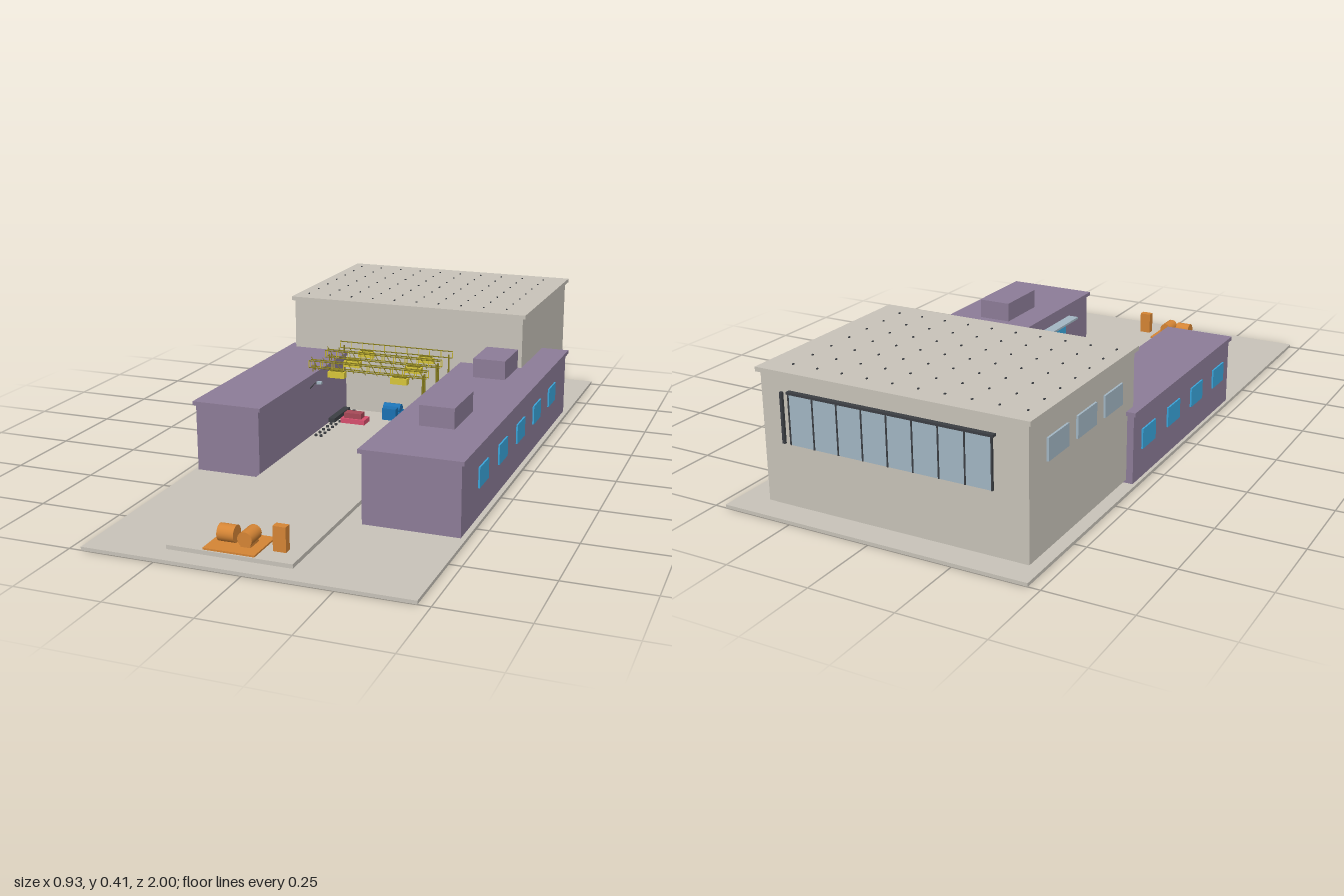
import * as THREE from 'three';

const mat = (color) => new THREE.MeshStandardMaterial({ color });
const M = {
  stone: mat(0xc9c4ba), purple: mat(0x8d7d98), glass: mat(0x3aa6dc), pale: mat(0xa3b7c4),
  orange: mat(0xd58535), yellow: mat(0xd8c63a), olive: mat(0x8a8020), red: mat(0xd8506e),
  maroon: mat(0xa84a58), blue: mat(0x1b72b4), dark: mat(0x3c3f44),
};

// Box from its lower and upper corners
function box(parent, name, m, x0, x1, y0, y1, z0, z1) {
  const mesh = new THREE.Mesh(new THREE.BoxGeometry(x1 - x0, y1 - y0, z1 - z0), m);
  mesh.position.set((x0 + x1) / 2, (y0 + y1) / 2, (z0 + z1) / 2);
  mesh.name = name;
  parent.add(mesh);
  return mesh;
}

// Cylinder along the axis 'x', 'y' or 'z'
function drum(parent, name, m, r, len, axis, x, y, z, seg = 24) {
  const g = new THREE.CylinderGeometry(r, r, len, seg);
  if (axis === 'x') g.rotateZ(Math.PI / 2);
  if (axis === 'z') g.rotateX(Math.PI / 2);
  const mesh = new THREE.Mesh(g, m);
  mesh.position.set(x, y, z);
  mesh.name = name;
  parent.add(mesh);
  return mesh;
}

// Thin bar between two points
function bar(parent, name, m, a, b, r) {
  const p = new THREE.Vector3(...a), q = new THREE.Vector3(...b);
  const d = q.clone().sub(p);
  const mesh = drum(parent, name, m, r, d.length(), 'y', 0, 0, 0, 6);
  mesh.position.copy(p).add(q).multiplyScalar(0.5);
  mesh.quaternion.setFromUnitVectors(new THREE.Vector3(0, 1, 0), d.normalize());
}

function group(parent, name) {
  const g = new THREE.Group();
  g.name = name;
  parent.add(g);
  return g;
}

// Tall hall with a flat roof, side windows and a glazed back
function addHall(root) {
  const hall = group(root, 'hall');
  box(hall, 'hallPlinth', M.stone, -0.425, 0.355, 0.01, 0.02, -0.92, -0.34);
  box(hall, 'hallWalls', M.stone, -0.435, 0.365, 0.02, 0.391, -0.935, -0.332);
  box(hall, 'hallRoof', M.stone, -0.445, 0.375, 0.391, 0.404, -0.945, -0.325);
  for (let i = 0; i < 10; i++)
    for (let j = 0; j < 7; j++) {
      const x = -0.406 + i * 0.078, z = -0.885 + j * 0.0833;
      box(hall, 'roofStud', M.dark, x - 0.002, x + 0.002, 0.404, 0.407, z - 0.003, z + 0.003);
    }
  for (const z of [-0.79, -0.63, -0.47]) {
    box(hall, 'hallSideWindow', M.pale, -0.441, -0.435, 0.262, 0.325, z - 0.055, z + 0.055);
  }
  // Back glazing with mullions and rail
  box(hall, 'backGlazing', M.pale, -0.335, 0.275, 0.2, 0.345, -0.94, -0.935);
  for (let i = 0; i <= 8; i++) {
    const x = -0.335 + i * 0.07625;
    box(hall, 'mullion', M.dark, x - 0.002, x + 0.002, 0.2, 0.345, -0.942, -0.935);
  }
  box(hall, 'glazingRail', M.dark, -0.345, 0.275, 0.345, 0.352, -0.949, -0.935);
  box(hall, 'glazingPost', M.dark, 0.294, 0.302, 0.2, 0.345, -0.943, -0.935);
}

// Low wings on both sides of the yard
function addWings(root) {
  const right = group(root, 'leftWing');
  box(right, 'wingWalls', M.purple, 0.168, 0.45, 0.01, 0.215, -0.6, 0.6);
  box(right, 'wingRoof', M.purple, 0.158, 0.458, 0.215, 0.227, -0.608, 0.606);
  for (const z of [-0.4, -0.2, 0, 0.2, 0.4])
    box(right, 'wingWindow', M.glass, 0.45, 0.455, 0.097, 0.157, z - 0.045, z + 0.045);
  for (const z of [-0.265, 0.265])
    box(right, 'rooftopUnit', M.purple, 0.247, 0.352, 0.227, 0.288, z - 0.09, z + 0.09);

  // Canopy and glazing facing the yard
  box(right, 'canopy', M.pale, 0.132, 0.168, 0.172, 0.179, -0.33, 0.46);
  for (let i = 0; i < 7; i++) {
    const z = -0.25 + i * 0.105;
    box(right, 'yardWindow', M.glass, 0.162, 0.168, 0.1, 0.17, z - 0.049, z + 0.049);
  }

  const left = group(root, 'rightWing');
  box(left, 'wingWalls', M.purple, -0.455, -0.25, 0.01, 0.215, -0.37, 0.364);
  box(left, 'wingRoof', M.purple, -0.463, -0.242, 0.215, 0.227, -0.378, 0.37);
  for (const z of [-0.27, -0.09, 0.09, 0.27])
    box(left, 'wingWindow', M.glass, -0.46, -0.455, 0.097, 0.157, z - 0.045, z + 0.045);
  // Wall lamp on a bracket
  bar(left, 'lampBracket', M.dark, [-0.25, 0.18, -0.02], [-0.232, 0.2, -0.02], 0.0015);
  box(left, 'lamp', M.pale, -0.224, -0.208, 0.199, 0.207, -0.026, -0.014);
  bar(left, 'lampArm', M.dark, [-0.232, 0.2, -0.02], [-0.222, 0.204, -0.02], 0.0015);
}

// Overhead truss beam with two hoists and a post
function addGantry(root, z) {
  const g = group(root, 'gantry');
  for (const dz of [-0.009, 0.009]) {
    for (const y of [0.24, 0.262])
      bar(g, 'chord', M.olive, [-0.268, y, z + dz], [0.132, y, z + dz], 0.0018);
    for (let i = 0; i <= 10; i++) {
      const x = -0.268 + i * 0.04;
      bar(g, 'trussUpright', M.yellow, [x, 0.24, z + dz], [x, 0.262, z + dz], 0.0013);
    }
    bar(g, 'gantryPost', M.olive, [0.119, 0.01, z + dz], [0.119, 0.25, z + dz], 0.003);
    bar(g, 'gantryHanger', M.olive, [-0.254, 0.215, z + dz], [-0.254, 0.25, z + dz], 0.002);
  }
  for (let i = 0; i < 10; i++) {
    const x = -0.25 + i * 0.04;
    bar(g, 'trussDiagonal', M.olive, [x - 0.014, 0.274, z], [x + 0.014, 0.23, z], 0.0012);
  }
  for (const x of [-0.174, 0.039]) {
    box(g, 'hoist', M.yellow, x - 0.028, x + 0.028, 0.213, 0.233, z - 0.012, z + 0.012);
    box(g, 'hoistTrolley', M.olive, x - 0.022, x + 0.022, 0.233, 0.24, z - 0.006, z + 0.006);
  }
}

// Equipment standing in the yard
function addMachines(root) {
  const red = group(root, 'redMachine');
  box(red, 'redBase', M.red, -0.21, -0.125, 0.022, 0.038, -0.228, -0.178);
  box(red, 'redTop', M.maroon, -0.2, -0.14, 0.038, 0.056, -0.22, -0.186);

  const blue = group(root, 'blueMachine');
  box(blue, 'blueBase', M.blue, -0.1, -0.036, 0.022, 0.045, -0.325, -0.285);
  box(blue, 'blueBody', M.blue, -0.092, -0.044, 0.022, 0.062, -0.325, -0.258);
  drum(blue, 'blueDrum', M.blue, 0.016, 0.06, 'x', -0.068, 0.054, -0.3);

  const skid = group(root, 'orangeSkid');
  box(skid, 'skidPlate', M.orange, -0.145, 0.003, 0.022, 0.027, 0.8, 0.93);
  drum(skid, 'largeDrum', M.orange, 0.024, 0.048, 'x', -0.101, 0.05, 0.865);
  drum(skid, 'smallDrum', M.orange, 0.021, 0.06, 'z', -0.041, 0.05, 0.865);
  box(skid, 'drumCradle', M.orange, -0.055, -0.027, 0.027, 0.036, 0.84, 0.89);
  box(skid, 'cabinet', M.orange, 0.03, 0.067, 0.022, 0.092, 0.852, 0.876);

  // Dark racks along the yard edges
  box(root, 'sideRack', M.dark, 0.115, 0.131, 0.01, 0.03, -0.25, -0.165);
  box(root, 'edgeKerb', M.dark, 0.131, 0.168, 0.01, 0.022, -0.25, -0.165);
  box(root, 'pipeRack', M.dark, -0.25, -0.228, 0.022, 0.036, -0.31, -0.17);
  for (let i = 0; i < 10; i++) {
    const z = -0.31 + i * 0.032;
    for (const x of [-0.232, -0.214])
      drum(root, 'bollard', M.dark, 0.005, 0.006, 'y', x, 0.025, z, 10);
  }
}

export function createModel() {
  const root = new THREE.Group();
  root.name = 'industrialSite';
  box(root, 'ground', M.stone, -0.465, 0.465, 0, 0.01, -1, 1);
  box(root, 'yardSlab', M.stone, -0.248, 0.112, 0.01, 0.022, -0.332, 0.935);
  addHall(root);
  addWings(root);
  for (const z of [-0.066, -0.203, -0.335]) addGantry(root, z);
  addMachines(root);
  return root;
}
